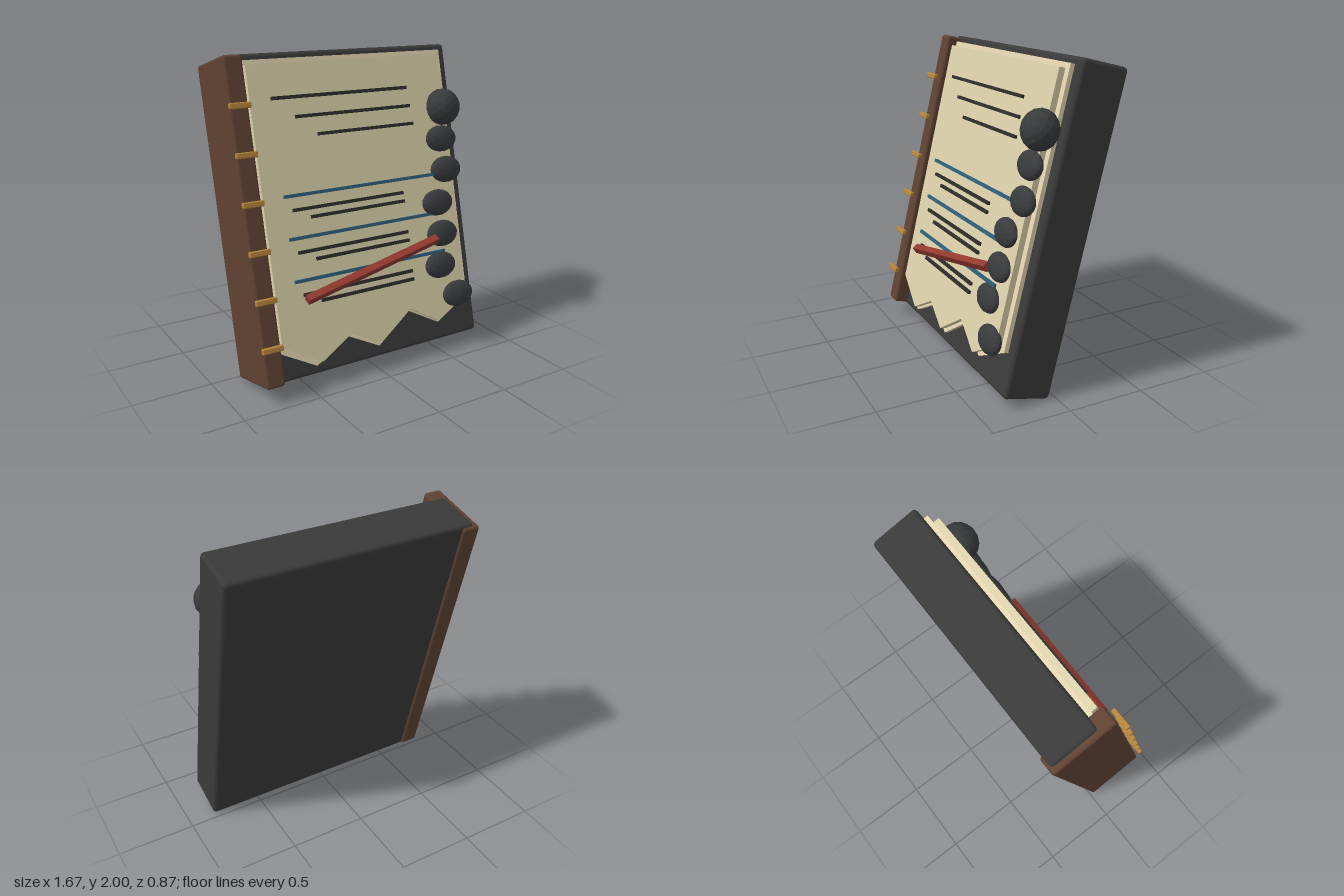
import * as THREE from 'three';
import { RoundedBoxGeometry } from 'three/addons/geometries/RoundedBoxGeometry.js';

const material = (name, color) => {
  const m = new THREE.MeshStandardMaterial({ color });
  m.name = name;
  return m;
};

export function createModel() {
  const charcoal = material('charcoal', 0x3a3a3a);
  const stone = material('darkStone', 0x383a3c);
  stone.flatShading = true;
  const ink = material('ink', 0x2e2d2c);
  const leather = material('brownLeather', 0x5f4232);
  const brass = material('brass', 0xb5853c);
  const cream = material('creamPaper', 0xdbd1ab);
  const pale = material('palePaper', 0xe4d5b2);
  const blue = material('blueThread', 0x2f607a);
  const red = material('redLacquer', 0x91392f);
  red.flatShading = true;

  // the whole book leans back; parts are placed in its own frame
  const book = new THREE.Group();
  book.name = 'leaningBook';
  book.rotation.x = -0.24;
  book.position.y = 1;

  const add = (name, geometry, mat, x, y, z) => {
    const mesh = new THREE.Mesh(geometry, mat);
    mesh.name = name;
    mesh.position.set(x, y, z);
    book.add(mesh);
    return mesh;
  };
  // rounded block given by its limits
  const block = (name, mat, [x0, x1], [y0, y1], [z0, z1], radius) =>
    add(name, new RoundedBoxGeometry(x1 - x0, y1 - y0, z1 - z0, 2, radius), mat,
      (x0 + x1) / 2, (y0 + y1) / 2, (z0 + z1) / 2);

  // cover block and spine
  block('cover', charcoal, [-0.785, 0.83], [-0.985, 0.998], [-0.2, 0.112], 0.025);
  block('spine', leather, [-0.82, -0.7], [-0.972, 0.983], [-0.216, 0.207], 0.018);

  // brass bands standing just off the spine
  for (let i = 0; i < 6; i++) {
    const y = 0.687 - i * 0.284;
    block('spineBand', brass, [-0.837, -0.702], [y - 0.018, y + 0.018], [0.225, 0.255], 0.008);
  }

  // sheets with a torn lower edge
  const sheet = (name, mat, top, tear, z, depth) => {
    const shape = new THREE.Shape();
    shape.moveTo(tear[0][0], top);
    tear.forEach(([x, y]) => shape.lineTo(x, y));
    shape.lineTo(tear[tear.length - 1][0], top);
    shape.closePath();
    add(name, new THREE.ExtrudeGeometry(shape, { depth, bevelEnabled: false }), mat, 0, 0, z);
  };
  sheet('lowerSheet', pale, 0.955, [[-0.7, -0.786], [-0.445, -0.927], [-0.205, -0.796],
    [0.015, -0.909], [0.27, -0.734], [0.495, -0.858], [0.76, -0.72]], 0.105, 0.035);
  sheet('upperSheet', cream, 0.923, [[-0.68, -0.753], [-0.42, -0.898], [-0.195, -0.772],
    [0.015, -0.88], [0.26, -0.716], [0.475, -0.842], [0.72, -0.7]], 0.141, 0.039);

  // raised strips on the page: [left, right, height]
  const strip = (name, mat, [x0, x1, y]) =>
    add(name, new THREE.BoxGeometry(x1 - x0, 0.02, 0.018), mat, (x0 + x1) / 2, y, 0.187);
  [[-0.545, 0.425, 0.716], [-0.4, 0.435, 0.597], [-0.262, 0.445, 0.481]]
    .forEach((s) => strip('headingLine', ink, s));
  for (let i = 0; i < 3; i++) {
    const y = 0.131 - i * 0.257;
    strip('blueLine', blue, [-0.545, 0.58, y]);
    strip('textLine', ink, [-0.497, 0.305, y - 0.087]);
    strip('textLine', ink, [-0.38, 0.308, y - 0.142]);
  }

  // faceted pebbles down the right edge: one round, six flat
  const pebble = new THREE.IcosahedronGeometry(1, 2);
  add('roundPebble', pebble, stone, 0.695, 0.568, 0.196).scale.set(0.122, 0.122, 0.11);
  [[0.66, 0.361], [0.67, 0.154], [0.57, -0.058], [0.58, -0.266], [0.535, -0.473], [0.65, -0.687]]
    .forEach(([x, y]) => add('flatPebble', pebble, stone, x, y, 0.186).scale.set(0.122, 0.088, 0.047));

  // slanted square rod, edge forward
  const rod = new THREE.CylinderGeometry(0.032, 0.032, 1.02, 4);
  rod.rotateZ(-Math.PI / 2);
  add('rod', rod, red, 0.005, -0.394, 0.22).rotation.z = 0.203;

  const model = new THREE.Group();
  model.name = 'book';
  model.add(book);
  return model;
}
